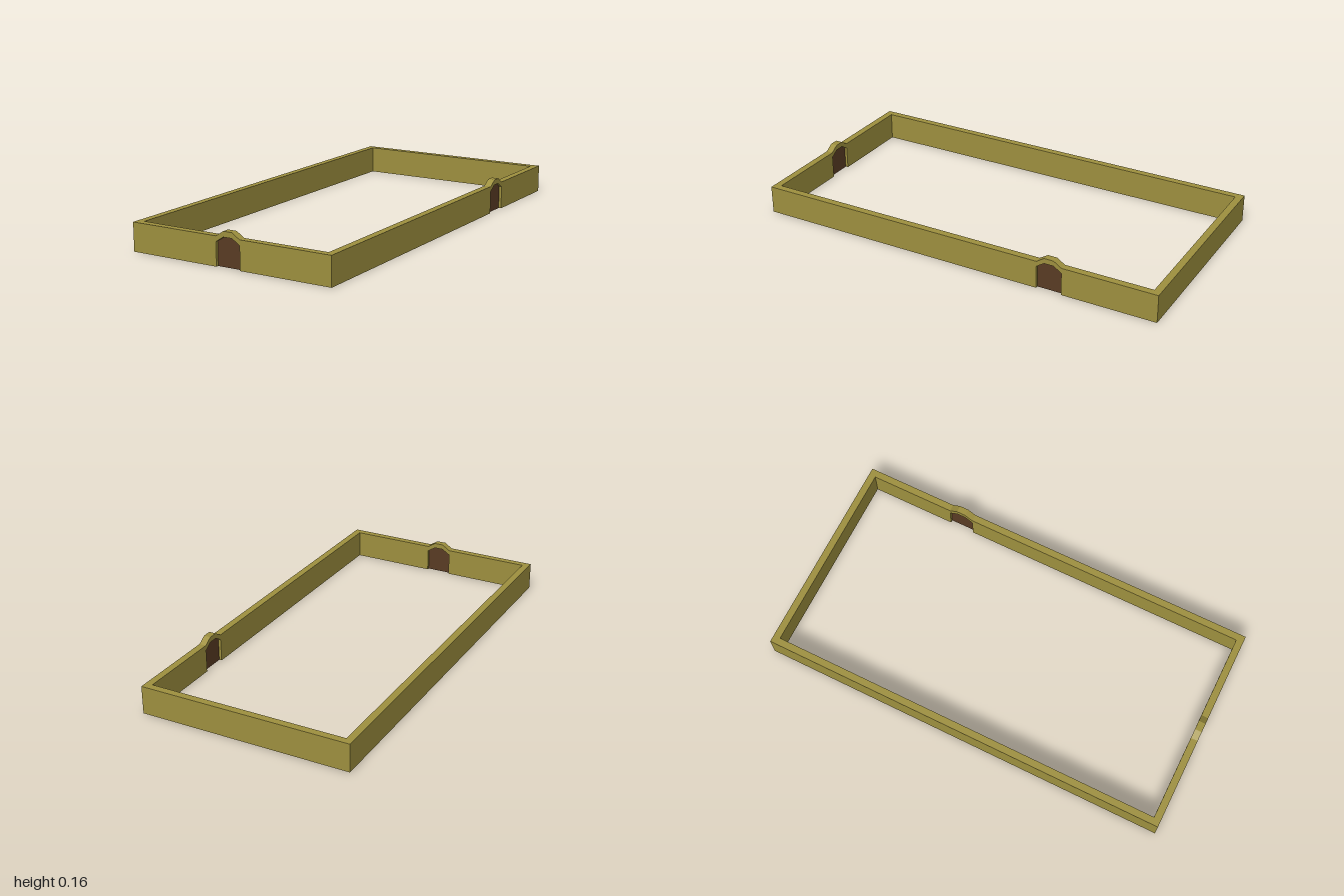
import * as THREE from 'three';

const HALF_X = 0.507, HALF_Z = 1, THICK = 0.034, HEIGHT = 0.133;
const GATE_HALF = 0.061, CROWN_HALF = 0.022, RISE = 0.025;

const stone = new THREE.MeshStandardMaterial({ color: 0x9f913f, flatShading: true });
const wood = new THREE.MeshStandardMaterial({ color: 0x5a3c24, flatShading: true });

// Extrudes an outline, centred on its thickness
function slab(name, points, depth, material) {
  const shape = new THREE.Shape(points.map(([x, y]) => new THREE.Vector2(x, y)));
  const geometry = new THREE.ExtrudeGeometry(shape, { depth, bevelEnabled: false });
  geometry.translate(0, 0, -depth / 2);
  const mesh = new THREE.Mesh(geometry, material);
  mesh.name = name;
  return mesh;
}

// Bevelled arch line from right to left, springing at height y
const arch = (c, y) => [
  [c + GATE_HALF, y], [c + CROWN_HALF, y + RISE],
  [c - CROWN_HALF, y + RISE], [c - GATE_HALF, y],
];

// Wall with an arched gateway at c and a door set in the middle of it
function gatedWall(name, half, c) {
  const group = new THREE.Group();
  group.name = name;
  const spring = HEIGHT - RISE;
  const opening = [[c + GATE_HALF, 0], ...arch(c, spring), [c - GATE_HALF, 0]];
  const outline = [
    [half, 0], [half, HEIGHT], ...arch(c, HEIGHT), [-half, HEIGHT], [-half, 0],
    ...opening.slice().reverse(),
  ];
  group.add(slab('wall', outline, THICK, stone), slab('door', opening, 0.008, wood));
  return group;
}

// Plain wall
function plainWall(name, half) {
  const mesh = new THREE.Mesh(new THREE.BoxGeometry(half * 2, HEIGHT, THICK), stone);
  mesh.geometry.translate(0, HEIGHT / 2, 0);
  mesh.name = name;
  return mesh;
}

export function createModel() {
  const model = new THREE.Group();
  model.name = 'walledEnclosure';
  const sideHalf = HALF_Z - THICK;

  const front = gatedWall('frontWall', HALF_X, 0);
  front.position.z = HALF_Z - THICK / 2;

  const back = plainWall('backWall', HALF_X);
  back.position.z = -HALF_Z + THICK / 2;

  // Side walls fit between the front and back walls
  const left = gatedWall('leftWall', sideHalf, 0.49);
  left.rotation.y = Math.PI / 2;
  left.position.x = HALF_X - THICK / 2;

  const right = plainWall('rightWall', sideHalf);
  right.rotation.y = Math.PI / 2;
  right.position.x = -HALF_X + THICK / 2;

  model.add(front, back, left, right);
  return model;
}
